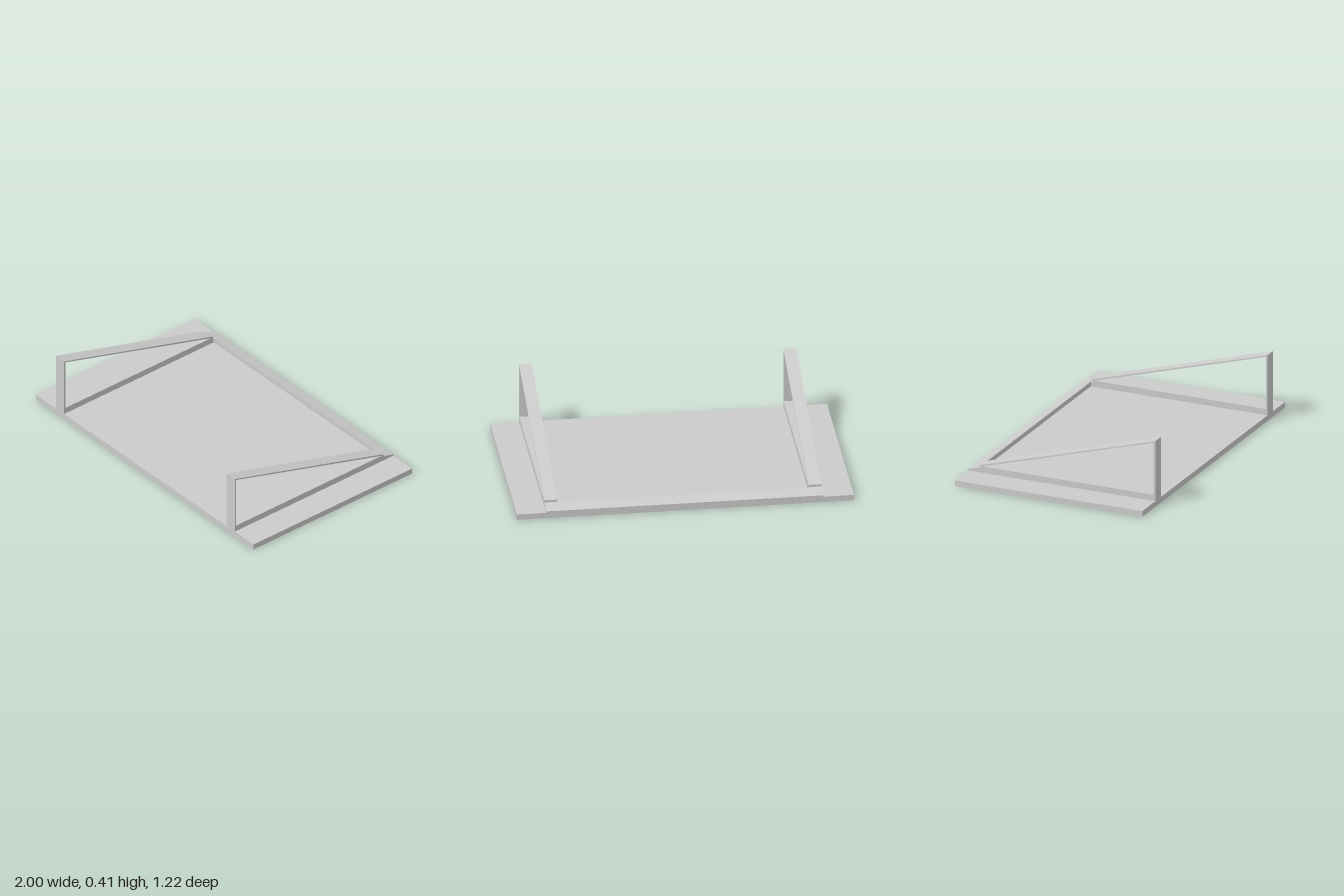
import * as THREE from 'three';

const material = new THREE.MeshStandardMaterial({ color: 0xcccccc, flatShading: true });

// Extrudes a (z, y) profile across x, from x0 to x1
function sideProfile(name, points, x0, x1, hole) {
  const toVectors = (list) => list.map(([z, y]) => new THREE.Vector2(z, y));
  const shape = new THREE.Shape(toVectors(points));
  if (hole) shape.holes.push(new THREE.Path(toVectors(hole)));
  const geometry = new THREE.ExtrudeGeometry(shape, { depth: x1 - x0, bevelEnabled: false });
  geometry.rotateY(-Math.PI / 2);
  geometry.translate(x1, 0, 0);
  const mesh = new THREE.Mesh(geometry, material);
  mesh.name = name;
  return mesh;
}

export function createModel() {
  const model = new THREE.Group();
  model.name = 'trayWithBraces';

  // Flat base plate
  const baseTop = 0.035;
  const base = new THREE.Mesh(new THREE.BoxGeometry(2, baseTop, 1.216), material);
  base.name = 'basePlate';
  base.position.y = baseTop / 2;
  model.add(base);

  // Triangular side frames: bottom rail, front post and sloping brace
  const outline = [[0.608, baseTop], [0.608, 0.413], [-0.532, 0.08], [-0.532, baseTop]];
  const opening = [[0.597, 0.074], [-0.517, 0.074], [0.597, 0.401]];
  model.add(sideProfile('rightFrame', outline, -0.817, -0.741, opening));
  model.add(sideProfile('leftFrame', outline, 0.752, 0.828, opening));

  // Back bar with a top sloping down to the rear
  const bar = [[-0.538, baseTop], [-0.538, 0.064], [-0.608, 0.044], [-0.608, baseTop]];
  model.add(sideProfile('backBar', bar, -0.817, 0.828));

  // Short fillers joining the side frames to the back bar
  const joint = [[-0.53, baseTop], [-0.53, 0.066], [-0.539, 0.0637], [-0.539, baseTop]];
  model.add(sideProfile('rightJoint', joint, -0.817, -0.741));
  model.add(sideProfile('leftJoint', joint, 0.752, 0.828));

  return model;
}
